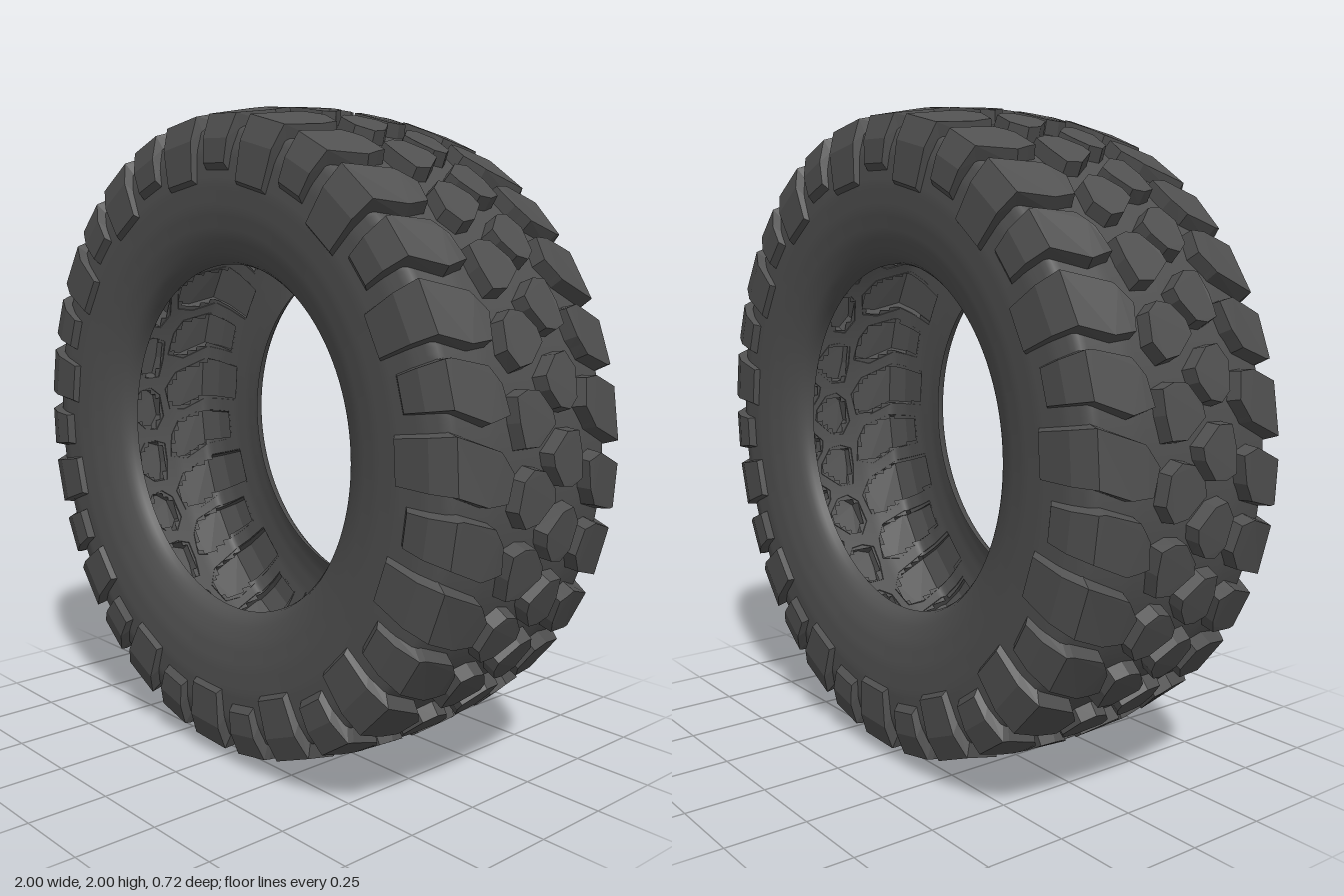
import * as THREE from 'three';

const PITCHES = 30; // lugs around each shoulder
const PHASE = -0.8;

// Cross-section from tread centre to bead: [v, groove r, groove z, lug r, lug z]
const PROFILE = [
  [0, 0.957, 0, 1.0, 0],
  [0.18, 0.95, 0.18, 0.99, 0.18],
  [0.33, 0.925, 0.318, 0.963, 0.333],
  [0.41, 0.86, 0.339, 0.885, 0.36],
  [0.54, 0.765, 0.346, 0.765, 0.362],
  [0.62, 0.69, 0.342, 0.69, 0.342],
  [0.7, 0.62, 0.329, 0.62, 0.329],
  [0.75, 0.576, 0.313, 0.576, 0.313],
  [0.78, 0.55, 0.298, 0.55, 0.298],
  [0.8, 0.537, 0.28, 0.537, 0.28],
  [0.82, 0.53, 0.26, 0.53, 0.26],
];
const V_MAX = 0.82;

// Wraps u (in pitches), v (across the section) and h (0 groove, 1 lug top) onto the tyre
function wrap(u, v, h) {
  const a = Math.min(Math.abs(v), V_MAX);
  let i = 0;
  while (i < PROFILE.length - 2 && a > PROFILE[i + 1][0]) i++;
  const p = PROFILE[i], q = PROFILE[i + 1];
  const t = (a - p[0]) / (q[0] - p[0]);
  const at = (k) => THREE.MathUtils.lerp(p[k], q[k], t);
  const r = THREE.MathUtils.lerp(at(1), at(3), h);
  const z = THREE.MathUtils.lerp(at(2), at(4), h) * Math.sign(v);
  const angle = ((u + PHASE) / PITCHES) * Math.PI * 2;
  return [r * Math.sin(angle), 1 + r * Math.cos(angle), z];
}

// Lug outlines of one half, repeating every two pitches
const HALF = {
  longShoulderLug: [[-0.41, 0.54], [0.41, 0.54], [0.43, 0.33], [0.62, 0.23], [0.6, 0.165], [0.2, 0.145], [-0.12, 0.19], [-0.4, 0.33]],
  shortShoulderLug: [[0.69, 0.49], [1.31, 0.49], [1.36, 0.33], [1.6, 0.22], [1.52, 0.15], [1.1, 0.165], [0.83, 0.2], [0.66, 0.31]],
  centreLugA: [[0.15, 0.08], [0.3, 0.12], [0.72, 0.135], [0.97, 0.1], [0.93, 0.05], [0.65, -0.012], [0.45, -0.005], [0.2, 0.035]],
  centreLugB: [[1.17, 0.085], [1.25, 0.13], [1.6, 0.13], [1.95, 0.115], [1.96, 0.06], [1.68, -0.012], [1.5, -0.005], [1.2, 0.04]],
};

// The other half is the same pattern turned half round
const LUGS = [];
for (const [name, outline] of Object.entries(HALF)) {
  const points = outline.map(([u, v]) => new THREE.Vector2(u, v));
  if (THREE.ShapeUtils.isClockWise(points)) points.reverse();
  LUGS.push({ name: name + 'Front', points });
  LUGS.push({ name: name + 'Back', points: points.map((p) => new THREE.Vector2(1.7 - p.x, -p.y)) });
}

function insideLug(u, v) {
  return LUGS.some(({ points }) => [-2, 0, 2].some((shift) => {
    const x = u + shift;
    let inside = false;
    points.forEach((a, i) => {
      const b = points[(i + 1) % points.length];
      if (a.y > v !== b.y > v && x < a.x + ((v - a.y) / (b.y - a.y)) * (b.x - a.x)) inside = !inside;
    });
    return inside;
  }));
}

// Sidewalls and groove floor, left open beneath the lugs as in a moulded shell
function carcassGeometry() {
  const perPitch = 12, nu = PITCHES * perPitch, nv = 82;
  const positions = [], index = [], covered = [];
  for (let j = 0; j <= nv; j++) {
    const v = -V_MAX + (2 * V_MAX * j) / nv;
    for (let i = 0; i < nu; i++) {
      const u = i / perPitch;
      positions.push(...wrap(u, v, 0));
      covered.push(Math.abs(v) < 0.55 && insideLug(u % 2, v));
    }
  }
  for (let j = 0; j < nv; j++) {
    for (let i = 0; i < nu; i++) {
      const k = (i + 1) % nu;
      const a = j * nu + i, b = j * nu + k, c = a + nu, d = b + nu;
      if (covered[a] && covered[b] && covered[c] && covered[d]) continue;
      index.push(a, c, b, b, c, d);
    }
  }
  const g = new THREE.BufferGeometry();
  g.setAttribute('position', new THREE.Float32BufferAttribute(positions, 3));
  g.setIndex(index);
  g.computeVertexNormals();
  return g;
}

// Adds outline points where edges cross the bends of the section
function splitAtBends(points, bends) {
  const out = [];
  points.forEach((a, i) => {
    const b = points[(i + 1) % points.length];
    out.push(a);
    bends
      .map((v) => (v - a.y) / (b.y - a.y))
      .filter((t) => t > 0.001 && t < 0.999)
      .sort((s, t) => s - t)
      .forEach((t) => out.push(a.clone().lerp(b, t)));
  });
  return out;
}

// One lug outline, repeated all round, with tapered walls and a bent top
function lugGeometry(points) {
  const side = Math.sign(points.reduce((s, p) => s + p.y, 0));
  const bends = [0.18, 0.33, 0.41].map((v) => v * side);
  const base = splitAtBends(points, bends);
  const centre = points.reduce((s, p) => s.add(p), new THREE.Vector2()).divideScalar(points.length);
  const top = base.map((p) => new THREE.Vector2(
    centre.x + (p.x - centre.x) * 0.9,
    centre.y + (p.y - centre.y) * 0.94));
  const limits = [-0.1, 0.18, 0.33, 0.41, 0.6];
  const faces = [];
  for (let k = 0; k < 4; k++) {
    const ids = base.map((_, i) => i).filter((i) => {
      const v = base[i].y * side;
      return v > limits[k] - 1e-6 && v < limits[k + 1] + 1e-6;
    });
    if (ids.length < 3) continue;
    const band = ids.map((i) => top[i]);
    if (Math.abs(THREE.ShapeUtils.area(band)) < 1e-6) continue;
    THREE.ShapeUtils.triangulateShape(band, []).forEach((f) => faces.push(f.map((i) => ids[i])));
  }
  const positions = [];
  for (let shift = 0; shift < PITCHES; shift += 2) {
    const lo = base.map((p) => wrap(p.x + shift, p.y, -0.1));
    const hi = top.map((p) => wrap(p.x + shift, p.y, 1));
    for (const [a, b, c] of faces) positions.push(...hi[a], ...hi[c], ...hi[b]);
    base.forEach((_, i) => {
      const j = (i + 1) % base.length;
      positions.push(...lo[i], ...hi[j], ...lo[j], ...lo[i], ...hi[i], ...hi[j]);
    });
  }
  const g = new THREE.BufferGeometry();
  g.setAttribute('position', new THREE.Float32BufferAttribute(positions, 3));
  g.computeVertexNormals();
  return g;
}

export function createModel() {
  const tyre = new THREE.Group();
  tyre.name = 'tyre';
  const rubber = new THREE.MeshStandardMaterial({ color: 0x505050, side: THREE.DoubleSide });
  const lugRubber = new THREE.MeshStandardMaterial({ color: 0x505050, side: THREE.DoubleSide, flatShading: true });

  const carcass = new THREE.Mesh(carcassGeometry(), rubber);
  carcass.name = 'carcass';
  tyre.add(carcass);

  // Tread rows
  const tread = new THREE.Group();
  tread.name = 'tread';
  for (const { name, points } of LUGS) {
    const row = new THREE.Mesh(lugGeometry(points), lugRubber);
    row.name = name;
    tread.add(row);
  }
  tyre.add(tread);
  return tyre;
}
